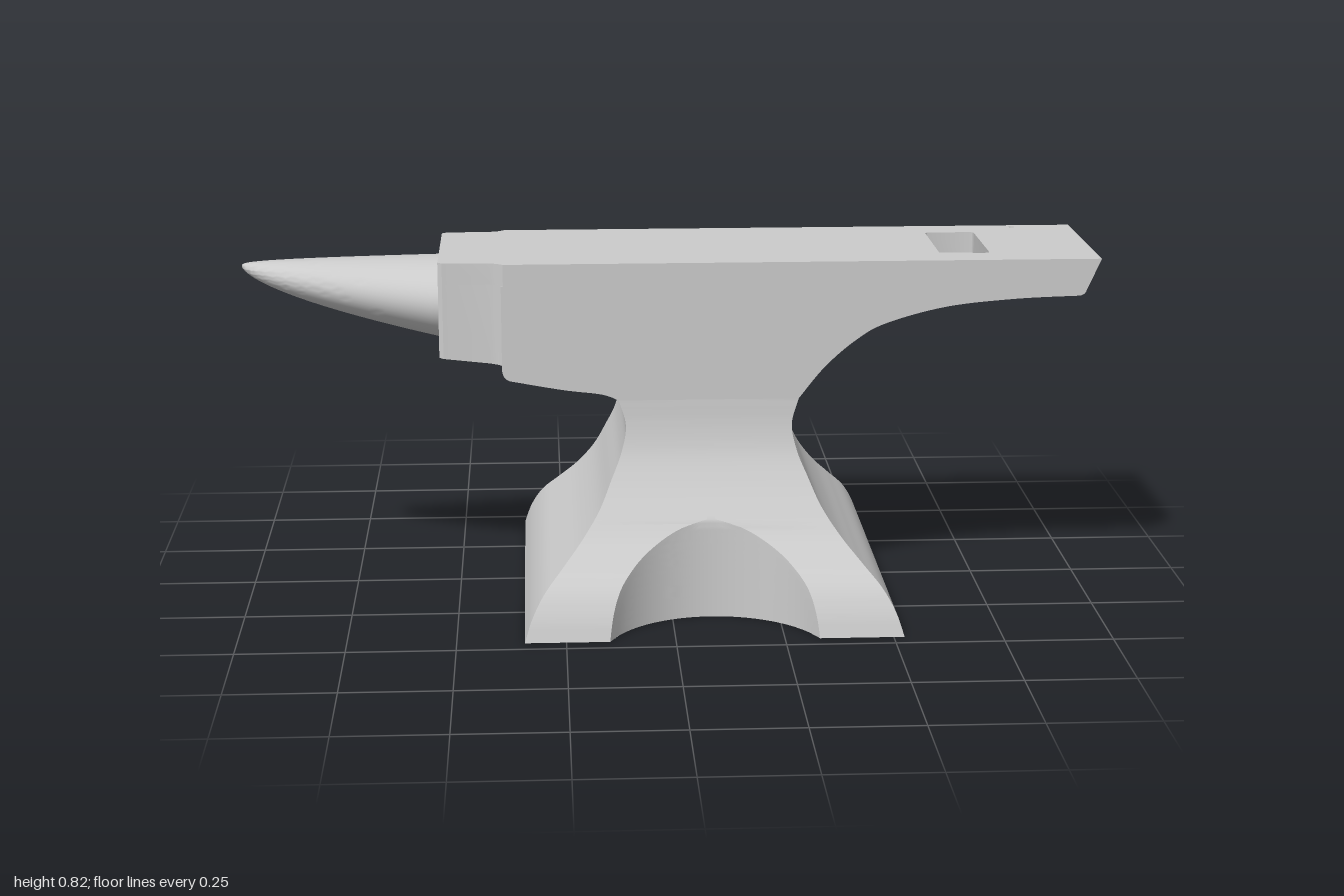
import * as THREE from 'three';
import { mergeGeometries, toCreasedNormals } from 'three/addons/utils/BufferGeometryUtils.js';

const V = (x, y, z) => new THREE.Vector3(x, y, z);
const HALF = 0.202; // half width of the working face
const FACE_Y = 0.825, PLATE_Y = 0.775, WAIST_Y = 0.5, WAIST_X = 0.09;

// Skin a row of closed rings and cap both ends with fans
function loft(rings) {
  const n = rings[0].length, pos = [], idx = [];
  rings.forEach(r => r.forEach(p => pos.push(p.x, p.y, p.z)));
  for (let i = 0; i < rings.length - 1; i++) {
    for (let j = 0; j < n; j++) {
      const a = i * n + j, b = i * n + (j + 1) % n;
      idx.push(a, b, a + n, b, b + n, a + n);
    }
  }
  [0, rings.length - 1].forEach((i, end) => {
    const c = rings[i].reduce((s, p) => s.add(p), V(0, 0, 0)).divideScalar(n);
    const k = pos.length / 3;
    pos.push(c.x, c.y, c.z);
    for (let j = 0; j < n; j++) {
      const a = i * n + j, b = i * n + (j + 1) % n;
      if (end) idx.push(k, a, b); else idx.push(k, b, a);
    }
  });
  const g = new THREE.BufferGeometry();
  g.setAttribute('position', new THREE.Float32BufferAttribute(pos, 3));
  g.setIndex(idx);
  return g.toNonIndexed();
}

// Flared foot and waist, with an upright round notch in front and back
function footGeometry() {
  const R = 0.26, notchZ = 0.56, rows = 64, steps = 28;
  // half width in x, height, half width in z
  const flare = new THREE.CatmullRomCurve3([
    V(0.435, 0, 0.461), V(0.418, 0.05, 0.445), V(0.39, 0.1, 0.418), V(0.345, 0.15, 0.372),
    V(0.3, 0.2, 0.325), V(0.258, 0.26, 0.283), V(0.23, 0.32, 0.247), V(0.205, 0.38, 0.22),
    V(0.194, 0.44, 0.207), V(0.21, WAIST_Y, HALF),
  ]);
  const rings = [];
  for (let i = 0; i <= rows; i++) {
    const { x: hx, y, z: hz } = flare.getPoint(i / rows);
    const chord = Math.sqrt(Math.max(R * R - (notchZ - hz) ** 2, 0.0001));
    const side = [V(WAIST_X - hx, y, hz)];
    for (let j = 0; j <= steps; j++) {
      const x = chord * (2 * j / steps - 1);
      side.push(V(WAIST_X + x, y, Math.min(hz, notchZ - Math.sqrt(R * R - x * x))));
    }
    side.push(V(WAIST_X + hx, y, hz));
    const back = side.map(p => V(p.x, p.y, -p.z)).reverse();
    rings.push([...side, ...back]);
  }
  return loft(rings);
}

// Upper body: side profile with the curved heel underside, extruded across
function upperGeometry() {
  const s = new THREE.Shape();
  const v2 = (x, y) => new THREE.Vector2(x, y);
  s.moveTo(0.3, WAIST_Y);
  s.splineThru([v2(0.36, 0.575), v2(0.43, 0.637), v2(0.5, 0.677), v2(0.64, 0.715),
    v2(0.8, 0.732), v2(0.95, 0.738)]);
  s.quadraticCurveTo(0.963, 0.739, 0.967, 0.75);
  s.lineTo(0.978, PLATE_Y);
  s.lineTo(-0.39, PLATE_Y);
  s.lineTo(-0.39, 0.575);
  s.quadraticCurveTo(-0.388, 0.553, -0.37, 0.549);
  s.splineThru([v2(-0.25, 0.527), v2(-0.16, 0.515), v2(-0.12, WAIST_Y)]);
  const g = new THREE.ExtrudeGeometry(s, { depth: 2 * HALF, bevelEnabled: false, curveSegments: 30 });
  return g.translate(0, 0, -HALF);
}

// Plan outline from the narrower step block to a given end
function plan(endX) {
  const half = [[-0.535, 0.17], [-0.525, 0.179], [-0.415, 0.184], [-0.398, 0.19], [-0.385, HALF], [endX, HALF]];
  return new THREE.Shape([
    ...half.map(([x, y]) => new THREE.Vector2(x, -y)),
    ...half.reverse().map(([x, y]) => new THREE.Vector2(x, y)),
  ]);
}

function extrudeUp(shape, y0, y1) {
  const g = new THREE.ExtrudeGeometry(shape, { depth: y1 - y0, bevelEnabled: false, curveSegments: 8 });
  return g.rotateX(-Math.PI / 2).translate(0, y0, 0);
}

// Face plate with the tool socket and the small punch hole
function plateGeometry() {
  const s = plan(1);
  const [l, r, h, c] = [0.634, 0.752, 0.122, 0.012];
  const socket = new THREE.Path();
  socket.moveTo(l + c, -h);
  socket.lineTo(r - c, -h);
  socket.quadraticCurveTo(r, -h, r, -h + c);
  socket.lineTo(r, h - c);
  socket.quadraticCurveTo(r, h, r - c, h);
  socket.lineTo(l + c, h);
  socket.quadraticCurveTo(l, h, l, h - c);
  socket.lineTo(l, -h + c);
  socket.quadraticCurveTo(l, -h, l + c, -h);
  const punch = new THREE.Path();
  punch.absarc(0.855, 0.18, 0.007, 0, Math.PI * 2, true);
  s.holes.push(socket, punch);
  const g = extrudeUp(s, PLATE_Y, FACE_Y);
  // undercut the heel end
  const p = g.attributes.position;
  for (let i = 0; i < p.count; i++) {
    if (p.getX(i) > 0.9 && p.getY(i) < 0.8) p.setX(i, 0.978);
  }
  return g;
}

// Step block with a slightly sloping underside
function stepGeometry() {
  const g = extrudeUp(plan(-0.37), 0.6, PLATE_Y);
  const p = g.attributes.position;
  for (let i = 0; i < p.count; i++) {
    if (p.getY(i) < 0.7) p.setY(i, 0.6 - 0.1 * (p.getX(i) + 0.535));
  }
  return g;
}

// Horn: oval sections with a nearly level top and a rising underside
function hornGeometry() {
  const rings = [], rows = 40, seg = 48;
  for (let i = 0; i <= rows; i++) {
    const s = Math.max((i / rows) ** 2, 0.0001);
    const top = 0.785 + 0.021 * s ** 0.25, bottom = 0.785 - 0.17 * s ** 0.65;
    const ry = (top - bottom) / 2, rz = 0.147 * s ** 0.62;
    rings.push(Array.from({ length: seg }, (_, j) => {
      const a = j / seg * Math.PI * 2;
      return V(-1 + 0.47 * s, (top + bottom) / 2 + ry * Math.cos(a), rz * Math.sin(a));
    }));
  }
  return loft(rings);
}

export function createModel() {
  const group = new THREE.Group();
  const material = new THREE.MeshStandardMaterial({ color: 0xcccccc });
  const add = (name, geometry) => {
    geometry.deleteAttribute('uv');
    geometry.deleteAttribute('normal');
    geometry.clearGroups();
    geometry.computeVertexNormals();
    const mesh = new THREE.Mesh(toCreasedNormals(geometry, 0.5), material);
    mesh.name = name;
    group.add(mesh);
  };

  const foot = footGeometry(), upper = upperGeometry();
  upper.deleteAttribute('uv');
  upper.deleteAttribute('normal');
  add('body', mergeGeometries([foot, upper]));
  add('facePlate', plateGeometry());
  add('stepBlock', stepGeometry());
  add('horn', hornGeometry());
  return group;
}
